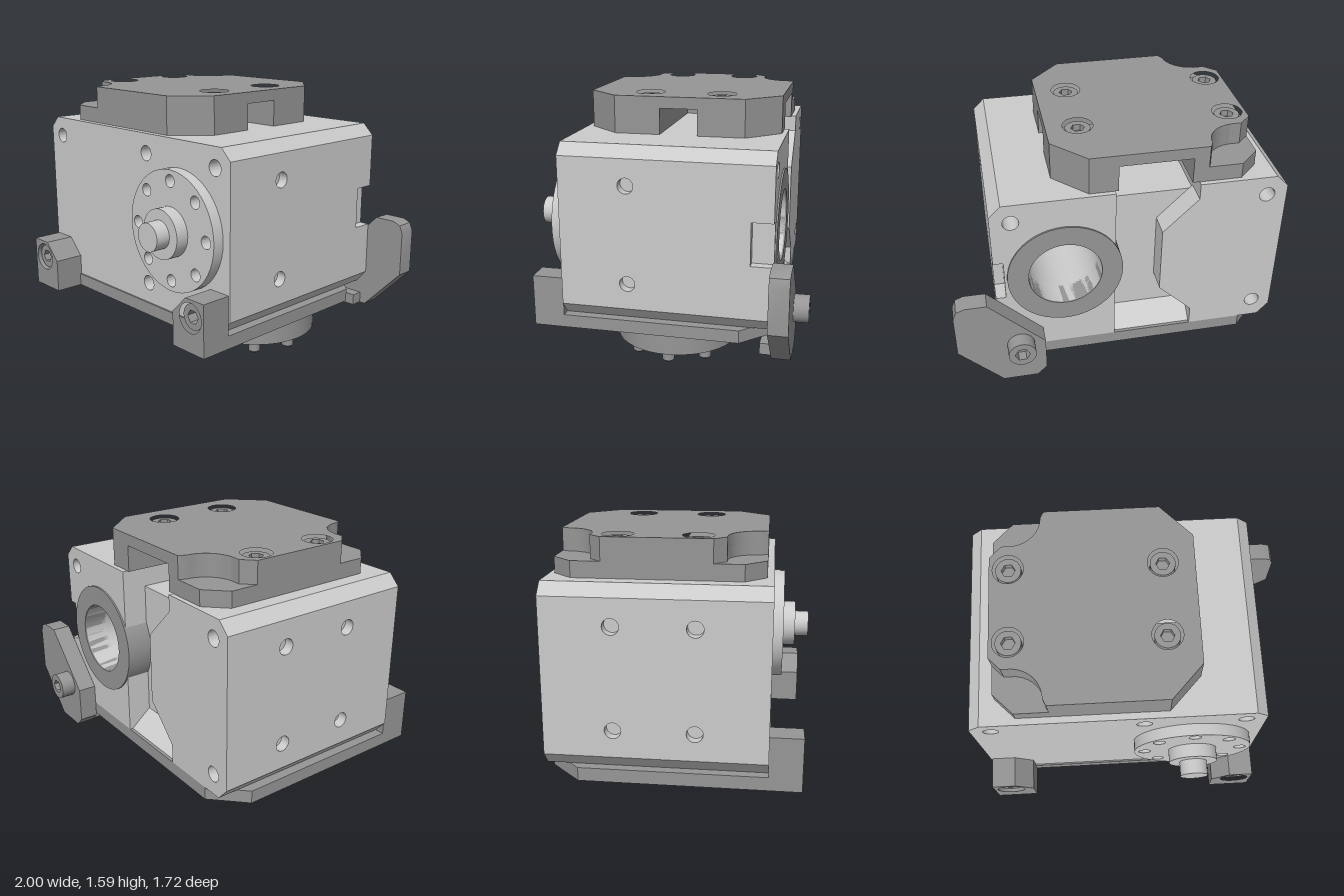
import * as THREE from 'three';
import { toCreasedNormals } from 'three/addons/utils/BufferGeometryUtils.js';

const light = new THREE.MeshStandardMaterial({ color: 0xcccccc });
const dark = new THREE.MeshStandardMaterial({ color: 0x969696 });

// Outline from points, with round holes [x, y, r]
function outline(points, holes = []) {
  const s = new THREE.Shape(points.map(([x, y]) => new THREE.Vector2(x, y)));
  for (const [x, y, r] of holes) s.holes.push(new THREE.Path().absarc(x, y, r, 0, Math.PI * 2, true));
  return s;
}

function disc(x, y, r, holes = []) {
  const s = new THREE.Shape().absarc(x, y, r, 0, Math.PI * 2, false);
  for (const [hx, hy, hr] of holes) s.holes.push(new THREE.Path().absarc(hx, hy, hr, 0, Math.PI * 2, true));
  return s;
}

// Equally spaced hole circle
const boltCircle = (x, y, R, r, n = 8) => Array.from({ length: n }, (_, i) => {
  const a = i * Math.PI * 2 / n;
  return [x + R * Math.cos(a), y + R * Math.sin(a), r];
});

function solid(shape, from, to) {
  const g = new THREE.ExtrudeGeometry(shape, { depth: to - from, bevelEnabled: false, curveSegments: 24 });
  return toCreasedNormals(g.translate(0, 0, from), 0.6);
}

export function createModel() {
  const model = new THREE.Group();
  const add = (name, geometry, material) => {
    const m = new THREE.Mesh(geometry, material);
    m.name = name;
    model.add(m);
    return m;
  };
  // Extrusions along z (xy shape), up y (x,-z shape) and along x (-z,y shape)
  const alongZ = (name, s, a, b, mat) => add(name, solid(s, a, b), mat);
  const alongY = (name, s, a, b, mat) => add(name, solid(s, a, b).rotateX(-Math.PI / 2), mat);
  const alongX = (name, s, a, b, mat) => add(name, solid(s, a, b).rotateY(Math.PI / 2), mat);
  const flat = pts => pts.map(([x, z]) => [x, -z]);

  // Socket head screw pointing +z, base at the origin
  function screw(name, r, h) {
    const g = new THREE.Group();
    g.name = name;
    const head = disc(0, 0, r);
    head.holes.push(new THREE.Path(Array.from({ length: 6 }, (_, i) =>
      new THREE.Vector2(r * 0.55 * Math.cos(-i * Math.PI / 3), r * 0.55 * Math.sin(-i * Math.PI / 3)))));
    g.add(new THREE.Mesh(solid(head, 0, h), dark));
    g.add(new THREE.Mesh(solid(disc(0, 0, r * 0.9), 0, h * 0.3), dark));
    model.add(g);
    return g;
  }

  // Housing: chamfered corners, split by the channel in the back
  const rightEdge = [[0.67, 0.29], [0.74, 0.37], [0.68, 0.37], [0.68, 1.29], [0.74, 1.29], [0.67, 1.36]];
  const leftEdge = [[-0.93, 1.36], [-1, 1.29], [-0.94, 1.29], [-0.94, 0.37], [-1, 0.37], [-0.93, 0.29]];
  const r = 0.047;
  alongZ('housingFront', outline([...rightEdge, ...leftEdge],
    [[-0.88, 1.24, r], [0.02, 1.24, r], [0.02, 0.42, r], [0.62, 1.24, r]]), 0.52, 0.62, light);
  const bore = [0.32, 0.83, 0.22];
  const rightBlock = [[0.02, 0.29], ...rightEdge, [0.02, 1.36]];
  alongZ('housingRightCore', outline(rightBlock, [bore]), -0.5, 0.52, light);
  alongZ('housingRightBack', outline(rightBlock, [bore, [0.62, 1.24, r], [0.62, 0.42, r]]), -0.65, -0.5, light);
  alongZ('housingLeftCore', outline([[-0.47, 0.29], [-0.47, 1.36], ...leftEdge]), -0.5, 0.52, light);
  alongZ('housingLeftBack', outline([[-0.47, 0.29], [-0.47, 0.41], [-0.26, 0.62], [-0.26, 1.05],
    [-0.47, 1.26], [-0.47, 1.36], ...leftEdge], [[-0.88, 1.24, r], [-0.88, 0.42, r]]), -0.65, -0.5, light);
  alongX('channelBlock', outline(flat([[-0.63, 0.29], [-0.5, 0.4], [-0.5, 1.24], [-0.1, 1.24], [-0.1, 1.36],
    [0.52, 1.36], [0.52, 0.29]]).map(([z, y]) => [-z, -y])), -0.47, 0.02, light)
    .geometry.copy(solid(outline([[0.63, 0.29], [0.5, 0.4], [0.5, 1.24], [0.1, 1.24], [0.1, 1.36],
      [-0.52, 1.36], [-0.52, 0.29]]), -0.47, 0.02).rotateY(Math.PI / 2));

  // Side walls with tapped holes; the right one is notched at the back
  alongX('rightWall', outline([[-0.62, 0.37], [0.65, 0.37], [0.65, 0.7], [0.52, 0.7], [0.52, 0.96],
    [0.65, 0.96], [0.65, 1.29], [-0.62, 1.29]], [[-0.21, 1.13, r], [-0.21, 0.53, r]]), 0.68, 0.74, light);
  const leftHoles = [-0.21, 0.25].flatMap(z => [[z, 1.13, r], [z, 0.53, r]]);
  alongX('leftWall', outline([[-0.62, 0.37], [0.65, 0.37], [0.65, 1.29], [-0.62, 1.29]], leftHoles), -1, -0.94, light);

  // Bearing ring at the back, flange and shaft at the front
  alongZ('bearingRing', disc(0.32, 0.83, 0.345, [[0.32, 0.83, 0.22]]), -0.66, -0.5, dark);
  alongZ('frontFlange', disc(0.32, 0.83, 0.365, boltCircle(0.32, 0.83, 0.3, 0.038)), 0.62, 0.69, light);
  alongZ('shaftCollar', disc(0.32, 0.83, 0.15), 0.69, 0.77, light);
  alongZ('shaft', disc(0.32, 0.83, 0.085), 0.77, 0.86, light);

  // Base plate with its two front brackets
  alongY('basePlate', outline(flat([[-0.99, 0.63], [0.73, 0.63], [0.73, -0.46], [0.54, -0.65],
    [-0.8, -0.65], [-0.99, -0.46]]), [[-0.8, 0.13, 0.035], [-0.8, -0.29, 0.035]]), 0.21, 0.29, dark);
  for (const side of [-1, 1]) {
    const x = d => -0.13 + side * d;
    alongZ('frontBracket', outline([[x(0.86), 0.21], [x(0.6), 0.21], [x(0.6), 0.42], [x(0.71), 0.53], [x(0.86), 0.53]],
      [[x(0.75), 0.42, 0.09]]), 0.62, 0.81, dark);
    screw('bracketScrew', 0.078, 0.1).position.set(x(0.75), 0.42, 0.69);
  }

  // Round foot flange with pins
  alongY('footFlange', disc(0.32, 0.01, 0.39, [[0.32, 0.01, 0.145]]), 0.08, 0.21, dark);
  for (const [x, y] of boltCircle(0.32, 0.01, 0.3, 0)) {
    const pin = new THREE.LatheGeometry([[0, 0], [0.028, 0], [0.037, 0.01], [0.037, 0.09]]
      .map(p => new THREE.Vector2(...p)), 20);
    add('footPin', toCreasedNormals(pin, 0.6), dark).position.set(x, 0, -y);
  }

  // Clamp lever at the back
  alongZ('clampLever', outline([[0.53, 0.14], [0.74, 0.14], [1, 0.41], [1, 0.685], [0.98, 0.735], [0.93, 0.755],
    [0.8, 0.755], [0.47, 0.42], [0.47, 0.2]]), -0.77, -0.655, dark);
  add('clampLip', new THREE.BoxGeometry(0.16, 0.07, 0.08), dark).position.set(0.62, 0.175, -0.62);
  const lever = screw('clampScrew', 0.083, 0.09);
  lever.position.set(0.62, 0.42, -0.77);
  lever.rotation.y = Math.PI;

  // Top plate: lower layers carry the channel, upper ones the rounded corner cutouts
  const mirrorZ = pts => pts.map(([x, z]) => [x, -0.04 - z]).reverse();
  const chamfer = [[-0.84, -0.5], [-0.72, -0.62]];
  const cutout = [[-0.84, -0.33], [-0.77, -0.4], [-0.7, -0.4]];
  for (let i = 0; i <= 8; i++) {
    const a = (1 - i / 8) * 1.45;
    cutout.push([-0.72 + 0.18 * Math.cos(a), -0.58 + 0.18 * Math.sin(a)]);
  }
  cutout.push([-0.52, -0.62]);
  const frontRight = [[0.36, 0.38], [0.17, 0.58]];
  const channel = [[-0.43, -0.62], [-0.43, 0.1], [0.36, 0.1]];
  const island = [[0, -0.62], [0.17, -0.62], [0.36, -0.42], [0.36, -0.13], [0, -0.13]];
  const layer = (corner, middle) => flat([...corner, ...middle, ...frontRight, ...mirrorZ(corner)]);
  const screws = [-0.73, 0.17].flatMap(x => [[x, 0.25, 0.09], [x, -0.2, 0.09]]);
  alongY('topPlateFoot', outline(layer(chamfer, channel)), 1.36, 1.455, dark);
  alongY('topPlateMiddle', outline(layer(cutout, channel)), 1.455, 1.52, dark);
  alongY('topPlatePad', outline(flat(island)), 1.36, 1.52, dark);
  alongY('topPlate', outline(layer(cutout, [[0.17, -0.62], [0.36, -0.42]]), screws), 1.52, 1.59, dark);
  for (const [x, y] of screws) {
    const s = screw('topScrew', 0.075, 0.055);
    s.position.set(x, 1.52, -y);
    s.rotation.x = -Math.PI / 2;
  }
  return model;
}
